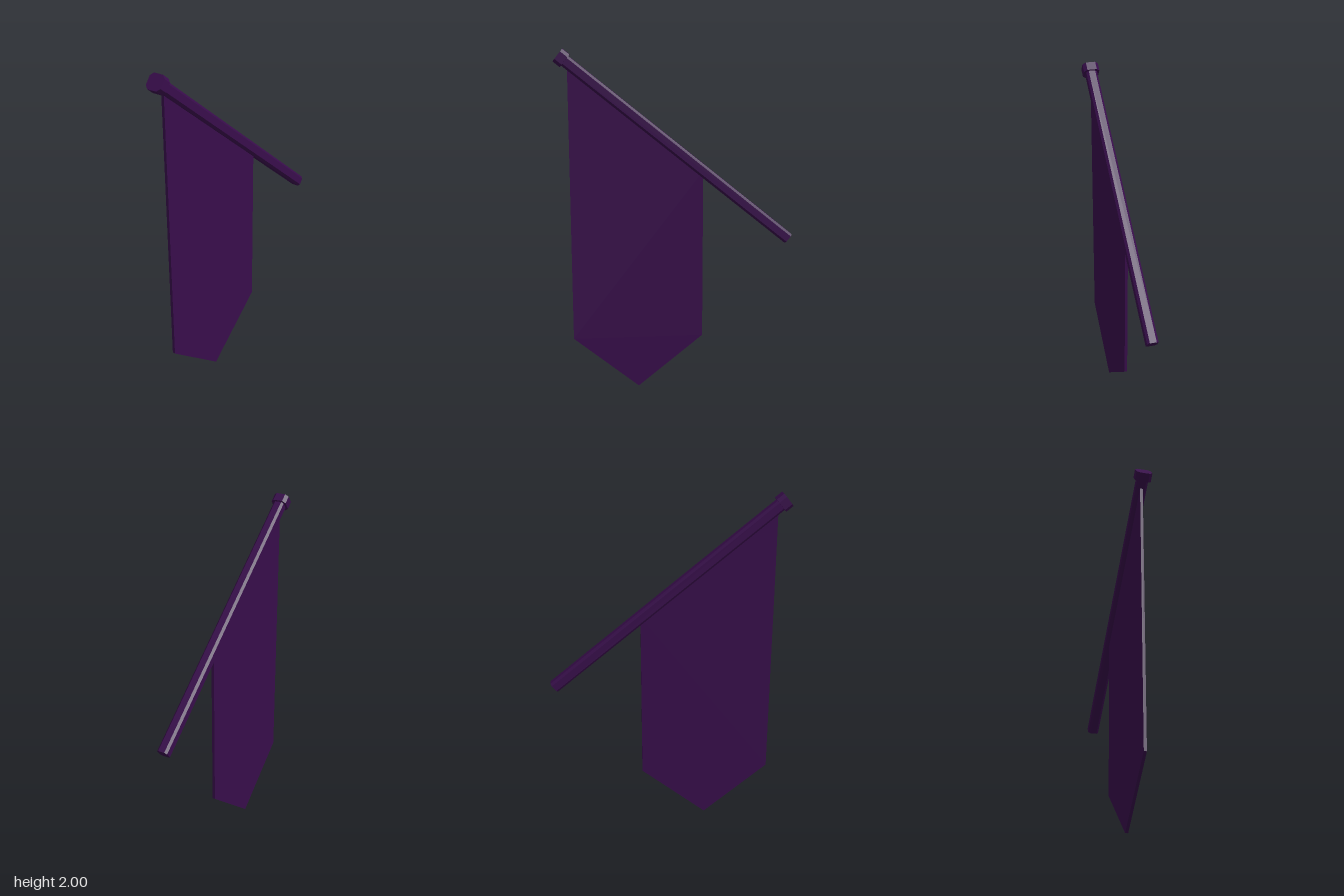
import * as THREE from 'three';

// Bar along local x with lengthwise chamfered edges
function chamferedBar(length, width, depth, chamfer) {
  const w = width / 2, d = depth / 2, c = chamfer;
  const section = new THREE.Shape([
    [-d + c, -w], [d - c, -w], [d, -w + c], [d, w - c],
    [d - c, w], [-d + c, w], [-d, w - c], [-d, -w + c],
  ].map(([x, y]) => new THREE.Vector2(x, y)));
  const geometry = new THREE.ExtrudeGeometry(section, { depth: length, bevelEnabled: false });
  geometry.translate(0, 0, -length / 2);
  geometry.rotateY(Math.PI / 2);
  return geometry;
}

export function createModel() {
  const model = new THREE.Group();
  model.name = 'hangingBanner';
  const purple = new THREE.MeshStandardMaterial({ color: 0x380d4b });
  purple.name = 'dark purple';

  const add = (name, geometry, parent) => {
    const mesh = new THREE.Mesh(geometry, purple);
    mesh.name = name;
    parent.add(mesh);
    return mesh;
  };

  // Sloping pole and its wall-end cap share one tilted frame
  const top = new THREE.Vector2(-0.641, 1.95);
  const end = new THREE.Vector2(0.665, 0.897);
  const length = top.distanceTo(end);
  const poleGroup = new THREE.Group();
  poleGroup.name = 'poleAssembly';
  poleGroup.position.set(top.x, top.y, 0);
  poleGroup.rotation.z = Math.atan2(end.y - top.y, end.x - top.x);
  add('pole', chamferedBar(length, 0.066, 0.064, 0.013), poleGroup).position.x = length / 2;
  add('poleCap', chamferedBar(0.05, 0.088, 0.092, 0.018), poleGroup);
  model.add(poleGroup);

  // Pointed cloth, its upper edge buried in the pole
  const poleY = (x) => top.y + (x - top.x) * (end.y - top.y) / (end.x - top.x);
  const left = -0.61, right = 0.157;
  const outline = new THREE.Shape([
    [left, 0.31], [(left + right) / 2, 0], [right, 0.31],
    [right, poleY(right)], [left, poleY(left)],
  ].map(([x, y]) => new THREE.Vector2(x, y)));
  const cloth = new THREE.ExtrudeGeometry(outline, { depth: 0.016, bevelEnabled: false });
  cloth.translate(0, 0, -0.009);
  add('bannerCloth', cloth, model);

  return model;
}
